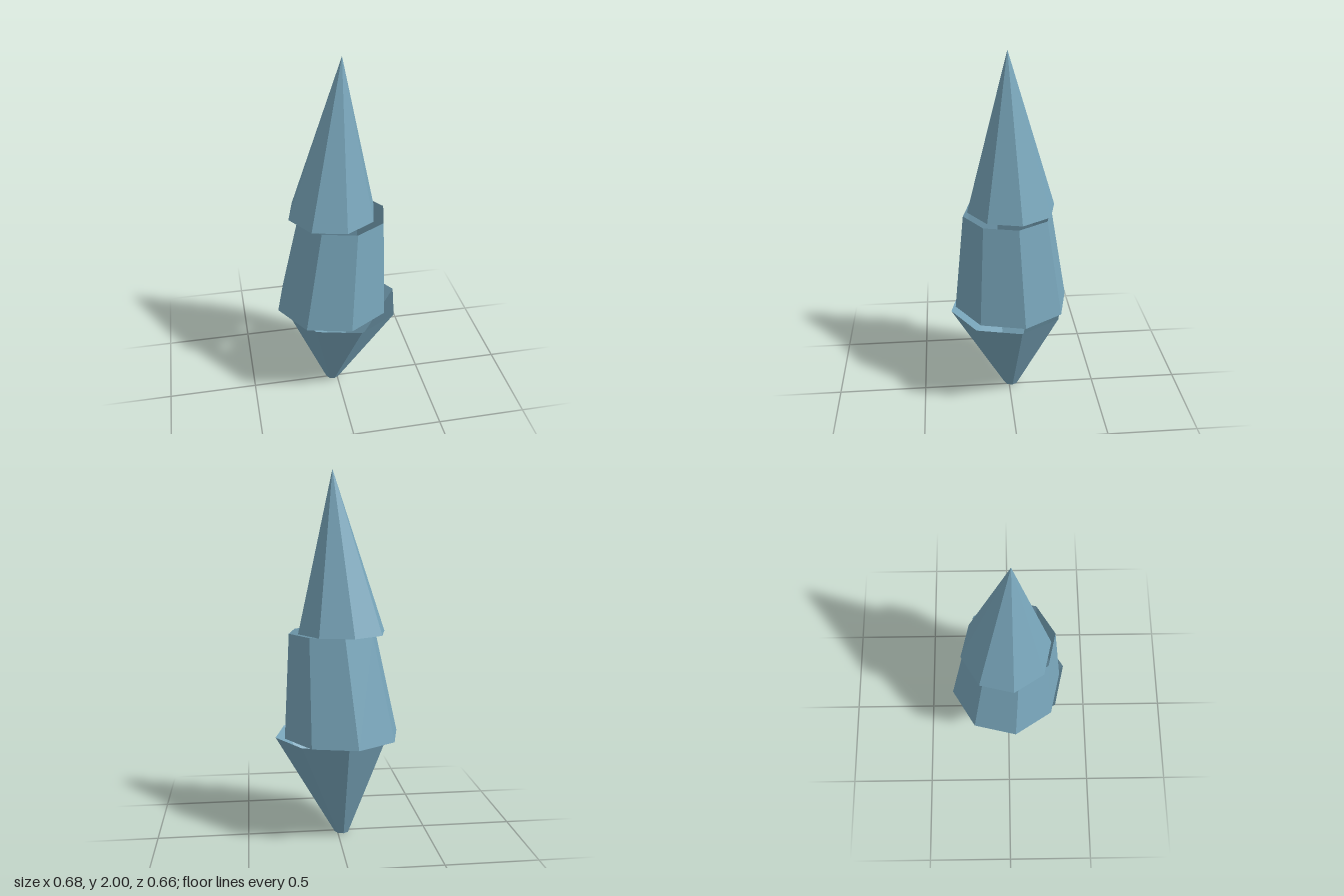
import * as THREE from 'three';

export function createModel() {
  const model = new THREE.Group();
  model.name = 'tree';

  const needles = new THREE.MeshStandardMaterial({ color: 0x7aa8bd, flatShading: true, side: THREE.DoubleSide });
  needles.name = 'dusty blue';

  // Every tier leans the same way, from its lower centre to its upper centre.
  const low = { x: -0.025, z: -0.013 };
  const high = { x: 0.023, z: 0.011 };

  // Open eight-sided tier, sheared along its height
  function tier(name, y0, y1, bottomRadius, topRadius) {
    const height = y1 - y0;
    const indexed = new THREE.CylinderGeometry(topRadius, bottomRadius, height, 8, 1, true, 0.162);
    const geometry = indexed.toNonIndexed();
    const p = geometry.attributes.position;
    for (let i = 0; i < p.count; i++) {
      const t = p.getY(i) / height + 0.5;
      p.setXYZ(
        i,
        p.getX(i) + THREE.MathUtils.lerp(low.x, high.x, t),
        THREE.MathUtils.lerp(y0, y1, t),
        p.getZ(i) + THREE.MathUtils.lerp(low.z, high.z, t)
      );
    }
    geometry.computeVertexNormals();
    const mesh = new THREE.Mesh(geometry, needles);
    mesh.name = name;
    model.add(mesh);
  }

  tier('lowerTier', 0, 0.57, 0.04, 0.323);
  tier('middleTier', 0.57, 1.14, 0.322, 0.243);
  tier('topCone', 1.14, 2, 0.243, 0);

  return model;
}
